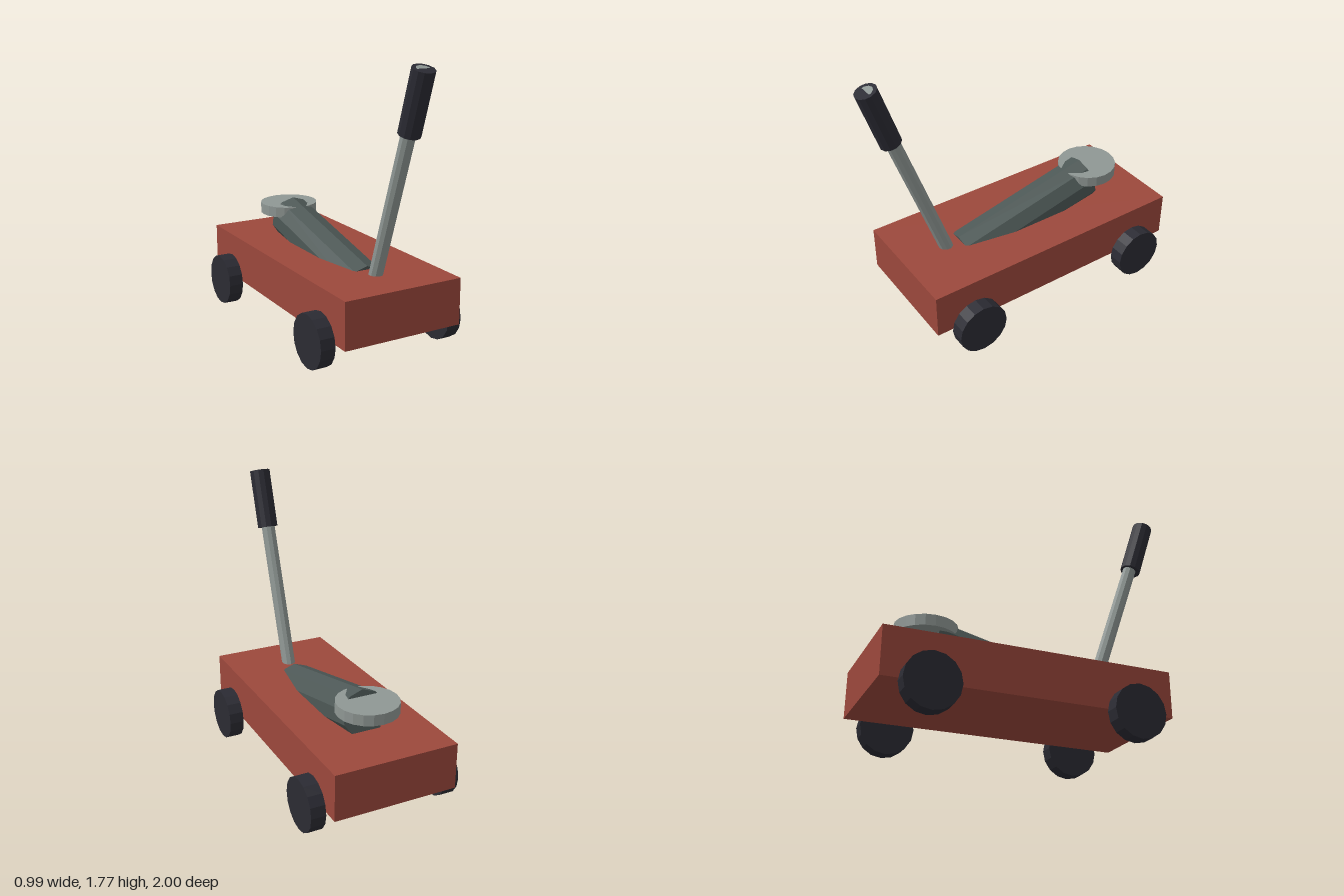
import * as THREE from 'three';

const paint = (name, color) => {
  const m = new THREE.MeshStandardMaterial({ color, flatShading: true });
  m.name = name;
  return m;
};

export function createModel() {
  const red = paint('red paint', 0x9c483c);
  const black = paint('black rubber', 0x2b2b33);
  const steel = paint('light steel', 0x8f9794);
  const iron = paint('dark iron', 0x4d5856);

  const model = new THREE.Group();
  model.name = 'trolleyJack';

  const add = (name, geometry, material, x, y, z) => {
    const mesh = new THREE.Mesh(geometry, material);
    mesh.name = name;
    mesh.position.set(x, y, z);
    model.add(mesh);
    return mesh;
  };

  // Faceted rod whose axis runs between two points [y, z] on the centre plane
  const rod = (name, from, to, radius, sides, material) => {
    const a = new THREE.Vector3(0, ...from);
    const b = new THREE.Vector3(0, ...to);
    const dir = b.clone().sub(a);
    const mid = a.clone().add(b).multiplyScalar(0.5);
    const geometry = new THREE.CylinderGeometry(radius, radius, dir.length(), sides);
    const mesh = add(name, geometry, material, mid.x, mid.y, mid.z);
    mesh.quaternion.setFromUnitVectors(new THREE.Vector3(0, 1, 0), dir.normalize());
  };

  // Chassis block
  add('chassis', new THREE.BoxGeometry(0.8, 0.295, 1.805), red, 0, 0.3345, -0.0975);

  // Four wheels against the chassis sides
  const wheel = new THREE.CylinderGeometry(0.168, 0.168, 0.095, 16).rotateZ(Math.PI / 2);
  for (const [side, x] of [['left', 0.4475], ['right', -0.4475]]) {
    add(side + 'FrontWheel', wheel, black, x, 0.168, 0.533);
    add(side + 'RearWheel', wheel, black, x, 0.168, -0.73);
  }

  // Lifting arm, half sunk in the chassis, and its saddle
  rod('liftingArm', [0.362, 0.367], [0.587, -0.603], 0.147, 10, iron);
  add('saddle', new THREE.CylinderGeometry(0.195, 0.195, 0.07, 20), steel, 0, 0.655, -0.637);

  // Pump handle; the rod end just breaks through the top of the grip
  rod('handle', [0.36, 0.453], [1.75, 0.935], 0.045, 10, steel);
  rod('handleGrip', [1.379, 0.814], [1.75, 0.935], 0.068, 12, black);

  return model;
}
